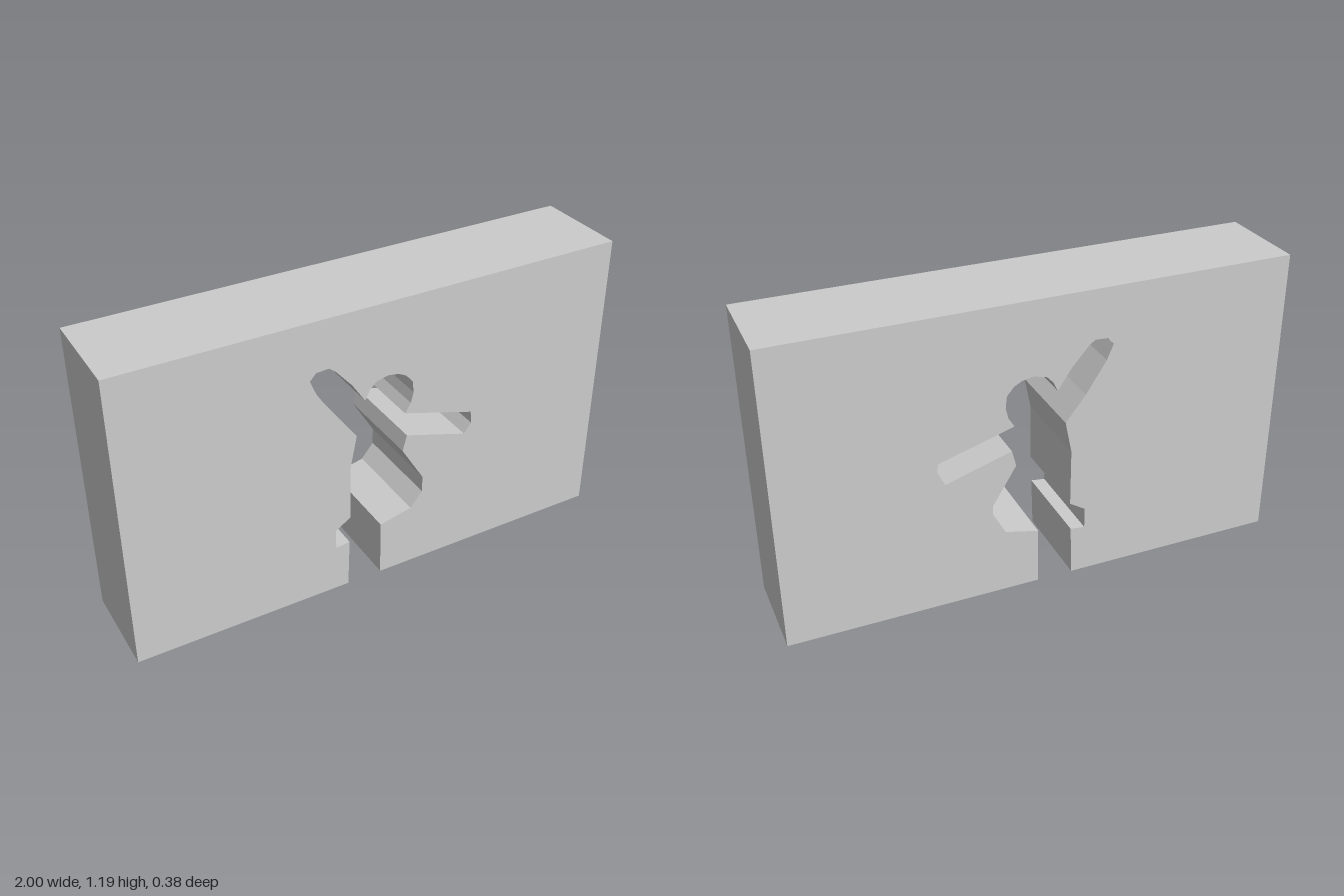
import * as THREE from 'three';

const WIDTH = 2, HEIGHT = 1.19, DEPTH = 0.376;

// Edge of the figure-shaped opening, from one foot over the head to the other
const opening = [
  // standing leg and raised heel
  [-0.133, 0], [-0.127, 0.203], [-0.185, 0.196], [-0.185, 0.28], [-0.122, 0.32],
  // side of the body
  [-0.122, 0.55], [-0.096, 0.68],
  // raised arm
  [-0.175, 0.78], [-0.255, 0.905], [-0.28, 0.965], [-0.255, 0.992], [-0.205, 0.995],
  [-0.18, 0.975], [-0.115, 0.9], [-0.062, 0.82],
  // head
  [-0.045, 0.857], [-0.018, 0.885], [0.03, 0.897], [0.075, 0.89], [0.107, 0.873],
  [0.135, 0.84], [0.14, 0.793], [0.13, 0.75], [0.106, 0.712],
  // stretched arm
  [0.4, 0.624], [0.405, 0.573], [0.375, 0.532], [0.117, 0.611],
  // bent knee and inner leg
  [0.1, 0.546], [0.193, 0.393], [0.193, 0.325], [0.143, 0.263], [0.01, 0.232], [0.01, 0],
];

export function createModel() {
  const group = new THREE.Group();
  group.name = 'wallWithFigureOpening';

  // The opening reaches the floor, so it is a notch in the wall outline
  const w = WIDTH / 2;
  const outline = [[w, 0], [w, HEIGHT], [-w, HEIGHT], [-w, 0], ...opening];
  const shape = new THREE.Shape(outline.map(([x, y]) => new THREE.Vector2(x, y)));

  const geometry = new THREE.ExtrudeGeometry(shape, { depth: DEPTH, bevelEnabled: false });
  geometry.translate(0, 0, -DEPTH / 2);

  const wall = new THREE.Mesh(
    geometry,
    new THREE.MeshStandardMaterial({ color: 0xcccccc, flatShading: true })
  );
  wall.name = 'wall';
  group.add(wall);
  return group;
}
